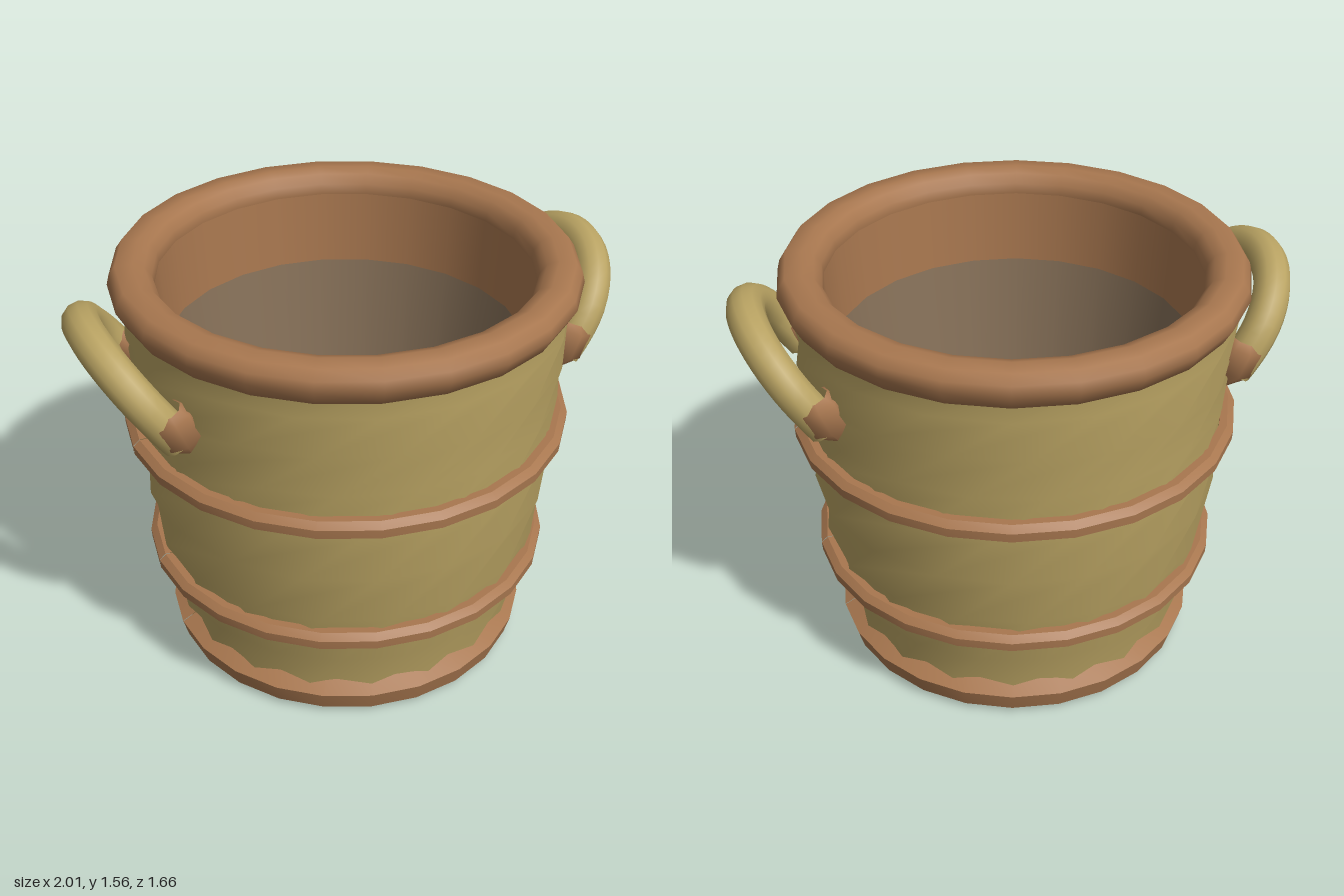
import * as THREE from 'three';
import { mergeVertices, toCreasedNormals } from 'three/addons/utils/BufferGeometryUtils.js';

const wicker = new THREE.MeshStandardMaterial({ color: 0xb8a262 });
wicker.name = 'wicker tan';
const leather = new THREE.MeshStandardMaterial({ color: 0xa8774f });
leather.name = 'leather brown';
const lining = new THREE.MeshStandardMaterial({ color: 0x867058 });
lining.name = 'lining taupe';

const SIDES = 24;
const points = (list) => list.map(([r, y]) => new THREE.Vector2(r, y));

function add(parent, name, geometry, material) {
  const mesh = new THREE.Mesh(geometry, material);
  mesh.name = name;
  parent.add(mesh);
  return mesh;
}

// Tapered wall whose rings turn as they rise, giving helical folds
function twistedWall() {
  const profile = [[0.638, 0.04], [0.69, 0.27], [0.73, 0.49], [0.757, 0.69], [0.772, 0.88],
    [0.776, 1.06], [0.788, 1.22], [0.795, 1.37], [0.785, 1.47]];
  const sides = 18;
  const geo = new THREE.LatheGeometry(points(profile), sides);
  const pos = geo.attributes.position;
  for (let i = 0; i < pos.count; i++) {
    const ring = i % profile.length;
    const angle = Math.floor(i / profile.length) * Math.PI * 2 / sides + THREE.MathUtils.degToRad(35 * ring);
    const [r, y] = profile[ring];
    pos.setXYZ(i, r * Math.sin(angle), y, r * Math.cos(angle));
  }
  geo.deleteAttribute('uv');
  geo.deleteAttribute('normal');
  const merged = mergeVertices(geo, 1e-4);
  merged.computeVertexNormals();
  return merged;
}

// Hoop made of two half rings that meet at the sides with a hairline gap
function hoop(parent, name, profile) {
  const gap = 0.004;
  for (const side of [-1, 1]) {
    const start = side * Math.PI / 2 + gap / 2;
    const geo = new THREE.LatheGeometry(points(profile), SIDES / 2, start, Math.PI - gap);
    add(parent, name, toCreasedNormals(geo, 0.45), leather);
  }
}

// Tilted arched handle with a pointed sleeve on each end
function handle(side) {
  const group = new THREE.Group();
  group.name = side > 0 ? 'leftHandle' : 'rightHandle';
  const spread = 0.297, foot = new THREE.Vector3(side * 0.733, 1.145, 0);
  const up = new THREE.Vector3(side * 0.57, 0.82, 0).normalize();
  const path = [];
  const place = (along, z) => path.push(foot.clone().addScaledVector(up, along).setZ(z));
  place(0, spread);
  for (let i = 0; i <= 8; i++) {
    const a = i * Math.PI / 8;
    place(0.065 + spread * Math.sin(a), spread * Math.cos(a));
  }
  place(0, -spread);
  add(group, 'handleLoop', new THREE.TubeGeometry(new THREE.CatmullRomCurve3(path), 28, 0.067, 12), wicker);

  // Sleeves stand a little steeper than the loop
  const sleeve = new THREE.LatheGeometry(points([[0, -0.12], [0.078, -0.035], [0.08, 0.06], [0.05, 0.085]]), 8);
  const sleeveUp = new THREE.Vector3(side * 0.36, 0.93, 0).normalize();
  for (const z of [-0.3, 0.3]) {
    const cap = add(group, 'handleSleeve', sleeve, leather);
    cap.position.set(side * 0.735, 1.19, z);
    cap.quaternion.setFromUnitVectors(new THREE.Vector3(0, 1, 0), sleeveUp);
  }
  return group;
}

export function createModel() {
  const basket = new THREE.Group();
  basket.name = 'basket';

  add(basket, 'outerWall', twistedWall(), wicker);

  // Rounded rim
  add(basket, 'rim', new THREE.LatheGeometry(points([
    [0.68, 1.44], [0.74, 1.428], [0.80, 1.432], [0.832, 1.49], [0.823, 1.525], [0.80, 1.558],
    [0.74, 1.562], [0.70, 1.548], [0.676, 1.515], [0.67, 1.48], [0.68, 1.44]]), SIDES), leather);

  // Inside: upper band, lining and floor
  add(basket, 'innerBand', new THREE.LatheGeometry(points([[0.672, 1.49], [0.655, 1.2]]), SIDES), leather);
  add(basket, 'innerLining', new THREE.LatheGeometry(points([[0.655, 1.2], [0.5, 0.1]]), SIDES), lining);
  const floor = add(basket, 'innerFloor', new THREE.CircleGeometry(0.5, SIDES), lining);
  floor.rotation.x = -Math.PI / 2;
  floor.position.y = 0.1;

  // Narrow hoops standing off the wall
  for (const [r, y] of [[0.815, 0.92], [0.758, 0.388]]) {
    hoop(basket, 'hoop', [[r - 0.05, y], [r, y], [r + 0.002, y + 0.034], [r - 0.022, y + 0.055],
      [r - 0.05, y + 0.055], [r - 0.05, y]]);
  }

  // Base ring and softly rounded foot
  hoop(basket, 'baseRing', [[0.59, 0.06], [0.605, 0.022], [0.67, 0.022], [0.69, 0.095], [0.6, 0.145]]);
  add(basket, 'foot', new THREE.LatheGeometry(points([[0, 0], [0.54, 0], [0.575, 0.024], [0.6, 0.06]]), SIDES), leather);

  for (const side of [-1, 1]) basket.add(handle(side));
  return basket;
}
